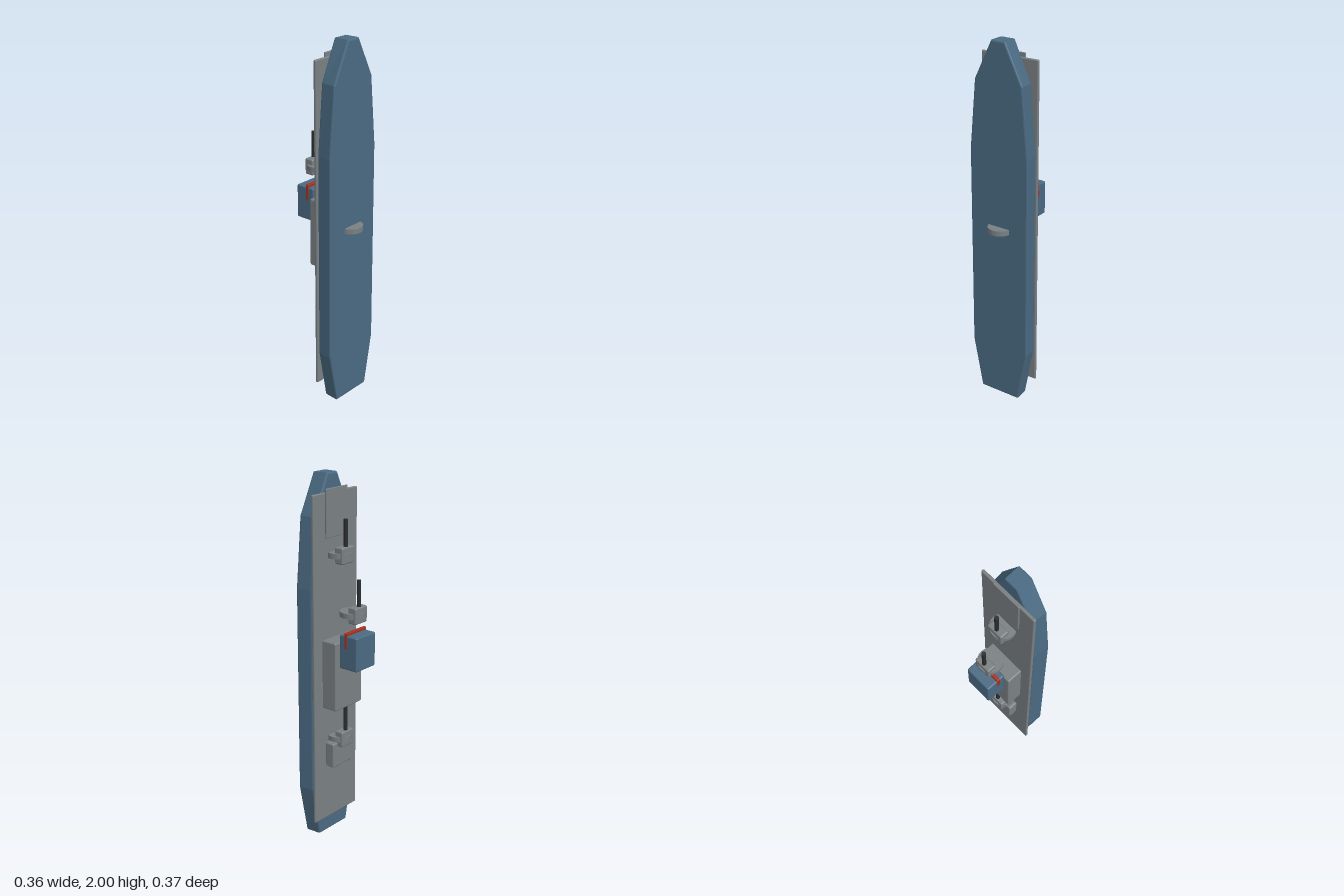
import * as THREE from 'three';
import { RoundedBoxGeometry } from 'three/addons/geometries/RoundedBoxGeometry.js';

const material = (name, color) => {
  const m = new THREE.MeshStandardMaterial({ color });
  m.name = name;
  return m;
};

// A warship standing on its stern: bow up, deck towards -z, keel towards +z.
export function createModel() {
  const blue = material('hull blue', 0x4a6a82);
  const grey = material('deck grey', 0x7a8083);
  const dark = material('barrel black', 0x2b2c2e);
  const red = material('band red', 0xa83020);

  const ship = new THREE.Group();
  ship.name = 'ship';

  const add = (parent, name, geometry, mat, x = 0, y = 0, z = 0) => {
    const mesh = new THREE.Mesh(geometry, mat);
    mesh.name = name;
    mesh.position.set(x, y, z);
    parent.add(mesh);
    return mesh;
  };

  // Softly rounded block given by half width and its y and z ranges
  const block = (parent, name, mat, hx, y0, y1, z0, z1, r = 0.008) =>
    add(parent, name, new RoundedBoxGeometry(2 * hx, y1 - y0, z1 - z0, 2, r),
      mat, 0, (y0 + y1) / 2, (z0 + z1) / 2);

  // Hull: bevelled outline, narrowing from keel side to deck side
  const bevel = 0.008;
  const half = [[0.122, 0], [0.178, 0.29], [0.178, 1.42], [0.144, 1.79], [0.044, 2]];
  const outline = [...half, ...half.map(([x, y]) => [-x, y]).reverse()];
  const inset = outline.map(([x, y]) => new THREE.Vector2(
    x - Math.sign(x) * bevel, THREE.MathUtils.clamp(y, bevel, 2 - bevel)));
  const hull = new THREE.ExtrudeGeometry(new THREE.Shape(inset), {
    depth: 0.092 - 2 * bevel, bevelThickness: bevel, bevelSize: bevel, bevelSegments: 2,
  });
  hull.translate(0, 0, 0.039 + bevel);
  const p = hull.attributes.position;
  for (let i = 0; i < p.count; i++) {
    const t = (p.getZ(i) - 0.039) / 0.092;
    p.setX(i, p.getX(i) * THREE.MathUtils.lerp(0.935, 1.005, t));
  }
  hull.computeVertexNormals();
  add(ship, 'hull', hull, blue);

  // Deck plate and foredeck plate
  block(ship, 'deck', grey, 0.172, 0.095, 1.91, 0.018, 0.035, 0.006);
  block(ship, 'foredeckPlate', grey, 0.083, 1.68, 1.93, 0.008, 0.018, 0.003);

  // Superstructure, bridge with band, and aft deckhouse
  block(ship, 'superstructure', grey, 0.108, 0.765, 1.145, -0.072, 0.022);
  block(ship, 'bridge', blue, 0.078, 1.005, 1.19, -0.187, -0.073);
  block(ship, 'bridgeBand', red, 0.08, 1.12, 1.205, -0.124, -0.105, 0.004);
  block(ship, 'aftDeckhouse', grey, 0.083, 0.415, 0.555, -0.035, 0.022);

  // Disc lying in the xz plane
  const disc = (parent, name, y, z) =>
    add(parent, name, new THREE.CylinderGeometry(0.067, 0.067, 0.028, 24), grey, 0, y, z);
  disc(ship, 'keelDisc', 1.003, 0.118);

  // Gun turrets: disc base, housing and one long barrel
  const turrets = [
    ['foreTurret', 1.59, -0.008],
    ['raisedTurret', 1.29, -0.096],
    ['aftTurret', 0.577, -0.008],
  ];
  for (const [name, y, z] of turrets) {
    const turret = new THREE.Group();
    turret.name = name;
    turret.position.set(0, y, z);
    disc(turret, 'turretBase', 0, 0);
    block(turret, 'turretHousing', grey, 0.048, -0.043, 0.045, -0.059, -0.007);
    add(turret, 'barrel', new THREE.CylinderGeometry(0.011, 0.011, 0.165, 14),
      dark, 0, 0.1025, -0.041);
    ship.add(turret);
  }

  return ship;
}
